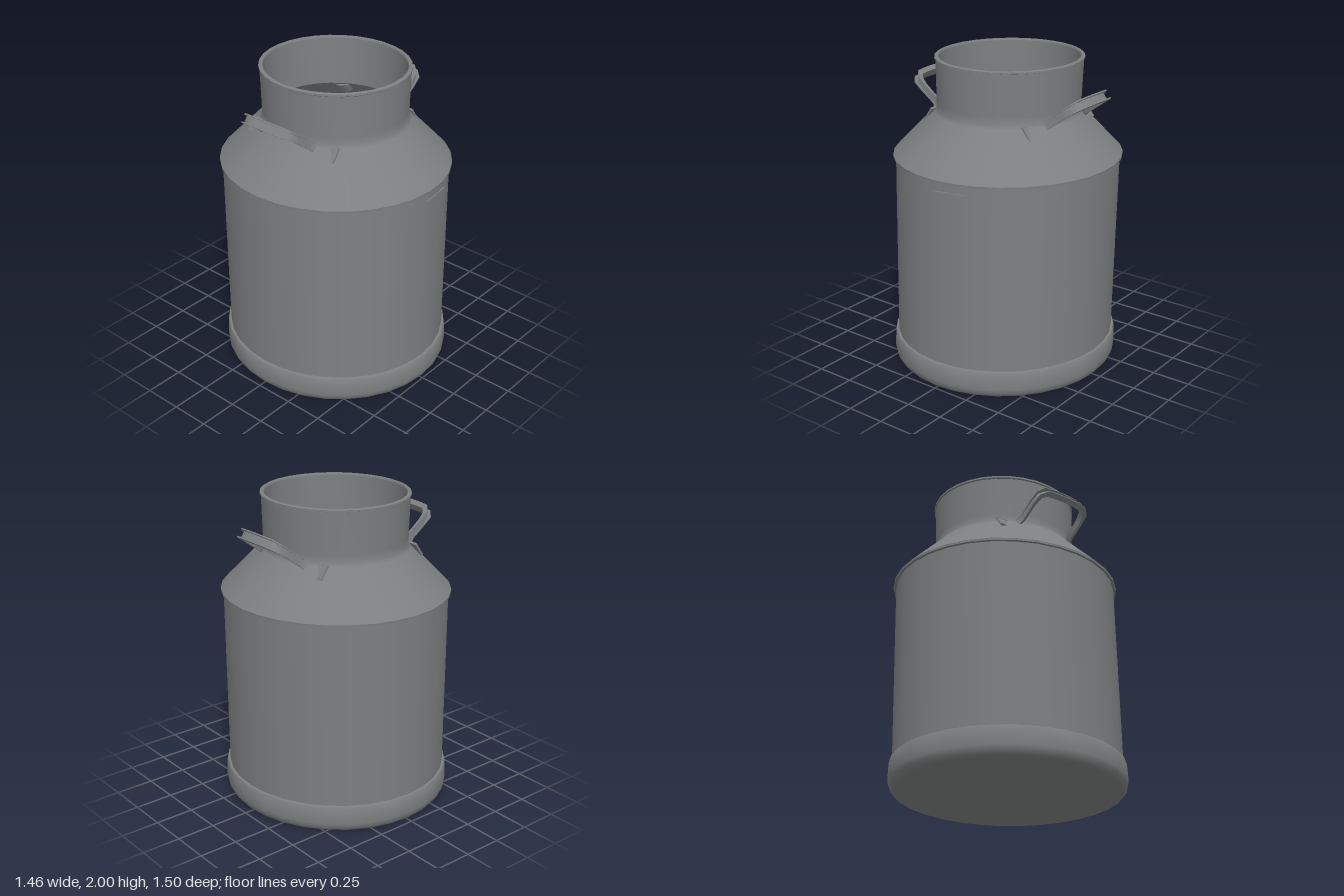
import * as THREE from 'three';
import { toCreasedNormals } from 'three/addons/utils/BufferGeometryUtils.js';

const steel = new THREE.MeshStandardMaterial({ color: 0x7c8080 });
steel.name = 'grey steel';

// Slightly oval, slightly leaning can
const lean = new THREE.Matrix4().set(
  0.972, 0.011, 0, -0.006,
  0, 1, 0, 0,
  0, -0.012, 1, 0.011,
  0, 0, 0, 1);

function turned(name, profile, crease) {
  let g = new THREE.LatheGeometry(profile.map(([r, y]) => new THREE.Vector2(r, y)), 32);
  if (crease) g = toCreasedNormals(g, crease);
  g.applyMatrix4(lean);
  const mesh = new THREE.Mesh(g, steel);
  mesh.name = name;
  return mesh;
}

// Strap handle: a channel section swept along a bracket-shaped path in a tilted plane
function handleGeometry() {
  const along = new THREE.Vector3(0.81, 0.585, 0).normalize();
  const wide = new THREE.Vector3(-along.y, along.x, 0);
  const base = new THREE.Vector3(0.40, 1.645, 0);
  // distance out, z, half width, flange height
  const half = [
    [-0.035, -0.345, 0.048, 0.002], [-0.035, -0.30, 0.05, 0.002], [-0.03, -0.25, 0.043, 0.002],
    [-0.005, -0.21, 0.032, 0.002], [0.05, -0.19, 0.027, 0.003], [0.17, -0.185, 0.027, 0.008],
    [0.225, -0.172, 0.029, 0.018], [0.248, -0.145, 0.031, 0.025], [0.255, -0.07, 0.031, 0.025],
  ];
  const path = [...half, [0.257, 0, 0.031, 0.025],
    ...half.slice().reverse().map(([u, z, w, f]) => [u, -z, w, f])];
  const pos = [], idx = [], t = 0.012, k = 0.009, n = 8;
  path.forEach(([u, z, w, f], i) => {
    const a = path[Math.max(i - 1, 0)], b = path[Math.min(i + 1, path.length - 1)];
    const du = b[0] - a[0], dz = b[1] - a[1], len = Math.hypot(du, dz);
    const out = along.clone().multiplyScalar(dz / len).add(new THREE.Vector3(0, 0, -du / len));
    const centre = base.clone().addScaledVector(along, u).add(new THREE.Vector3(0, 0, z));
    const section = [[-w, 0], [w, 0], [w, t + f], [w - k, t + f], [w - k, t],
      [k - w, t], [k - w, t + f], [-w, t + f]];
    for (const [p, q] of section) {
      const v = centre.clone().addScaledVector(wide, p).addScaledVector(out, q);
      pos.push(v.x, v.y, v.z);
    }
    if (i < path.length - 1) {
      for (let j = 0; j < n; j++) {
        const p = i * n + j, q = i * n + (j + 1) % n;
        idx.push(p, p + n, q, q, p + n, q + n);
      }
    }
  });
  const last = (path.length - 1) * n;
  for (let j = 1; j < n - 1; j++) {
    idx.push(0, j, j + 1, last, last + j + 1, last + j);
  }
  const g = new THREE.BufferGeometry();
  g.setAttribute('position', new THREE.Float32BufferAttribute(pos, 3));
  g.setIndex(idx);
  return toCreasedNormals(g, 0.8);
}

export function createModel() {
  const can = new THREE.Group();
  can.name = 'milkCan';

  // Outer shell
  can.add(turned('base', [[0, 0], [0.70, 0], [0.72, 0.008], [0.738, 0.03], [0.745, 0.06],
    [0.74, 0.17], [0.735, 0.178], [0.715, 0.18]], 0.7));
  can.add(turned('body', [[0.72, 0.17], [0.722, 1.375]]));
  can.add(turned('shoulderLip', [[0.715, 1.37], [0.739, 1.37], [0.74, 1.384]], 0.6));
  can.add(turned('shoulderAndNeck', [[0.74, 1.383], [0.60, 1.526], [0.478, 1.65], [0.462, 1.675],
    [0.461, 1.72], [0.468, 1.98]]));
  can.add(turned('rim', [[0.465, 1.982], [0.475, 1.985], [0.475, 1.997], [0.47, 2], [0.452, 2],
    [0.448, 1.99]], 0.7));

  // Hollow inside, down to the floor
  can.add(turned('lining', [[0.45, 1.995], [0.444, 1.68], [0.70, 1.38], [0.70, 0.03], [0, 0.03]], 0.6));

  // Thin seam strip on the front
  const strip = new THREE.Mesh(new THREE.BoxGeometry(0.22, 0.008, 0.009), steel);
  strip.name = 'frontStrip';
  strip.position.set(0.112, 1.31, 0.709);
  strip.rotation.y = 0.15;
  can.add(strip);

  // Pair of handles
  const g = handleGeometry();
  ['leftHandle', 'rightHandle'].forEach((name, i) => {
    const handle = new THREE.Mesh(g, steel);
    handle.name = name;
    handle.position.set(0.008, 0, -0.02);
    handle.rotation.y = i * Math.PI;
    can.add(handle);
  });
  return can;
}
